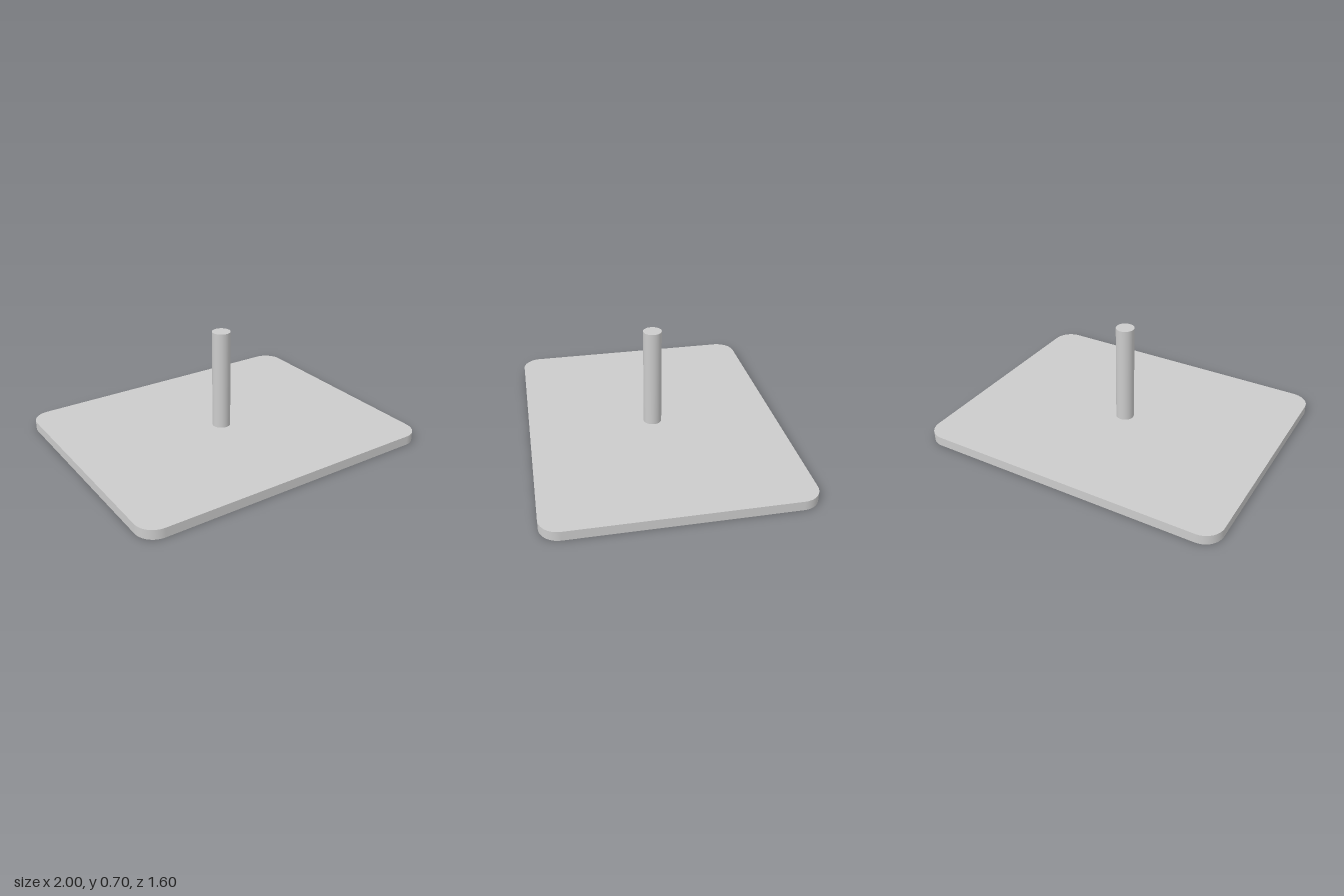
import * as THREE from 'three';

const WIDTH = 2, DEPTH = 1.6, THICKNESS = 0.06, CORNER = 0.12;
const POST_RADIUS = 0.058, TOP = 0.703;

// Rectangle with rounded corners, centred on the origin
function roundedRect(w, d, r) {
  const x = w / 2 - r, y = d / 2 - r;
  const s = new THREE.Shape();
  s.absarc(x, y, r, 0, Math.PI / 2);
  s.absarc(-x, y, r, Math.PI / 2, Math.PI);
  s.absarc(-x, -y, r, Math.PI, Math.PI * 1.5);
  s.absarc(x, -y, r, Math.PI * 1.5, Math.PI * 2);
  s.closePath();
  return s;
}

// Smooth the side walls: each wall normal points away from its corner centre
function smoothWalls(geo, w, d, r) {
  const p = geo.attributes.position, n = geo.attributes.normal;
  const cx = w / 2 - r, cz = d / 2 - r, v = new THREE.Vector3();
  for (let i = 0; i < p.count; i++) {
    if (Math.abs(n.getY(i)) > 0.5) continue;
    const x = p.getX(i), z = p.getZ(i);
    v.set(x - THREE.MathUtils.clamp(x, -cx, cx), 0, z - THREE.MathUtils.clamp(z, -cz, cz)).normalize();
    n.setXYZ(i, v.x, v.y, v.z);
  }
  return geo;
}

export function createModel() {
  const model = new THREE.Group();
  const material = new THREE.MeshStandardMaterial({ color: 0xcccccc });

  // Flat base plate with rounded corners
  const plateGeo = new THREE.ExtrudeGeometry(roundedRect(WIDTH, DEPTH, CORNER), {
    depth: THICKNESS, bevelEnabled: false, curveSegments: 16,
  });
  plateGeo.rotateX(-Math.PI / 2);
  const plate = new THREE.Mesh(smoothWalls(plateGeo, WIDTH, DEPTH, CORNER), material);
  plate.name = 'basePlate';
  model.add(plate);

  // Upright round post in the middle
  const height = TOP - THICKNESS;
  const post = new THREE.Mesh(new THREE.CylinderGeometry(POST_RADIUS, POST_RADIUS, height, 48), material);
  post.position.y = THICKNESS + height / 2;
  post.name = 'post';
  model.add(post);

  return model;
}
